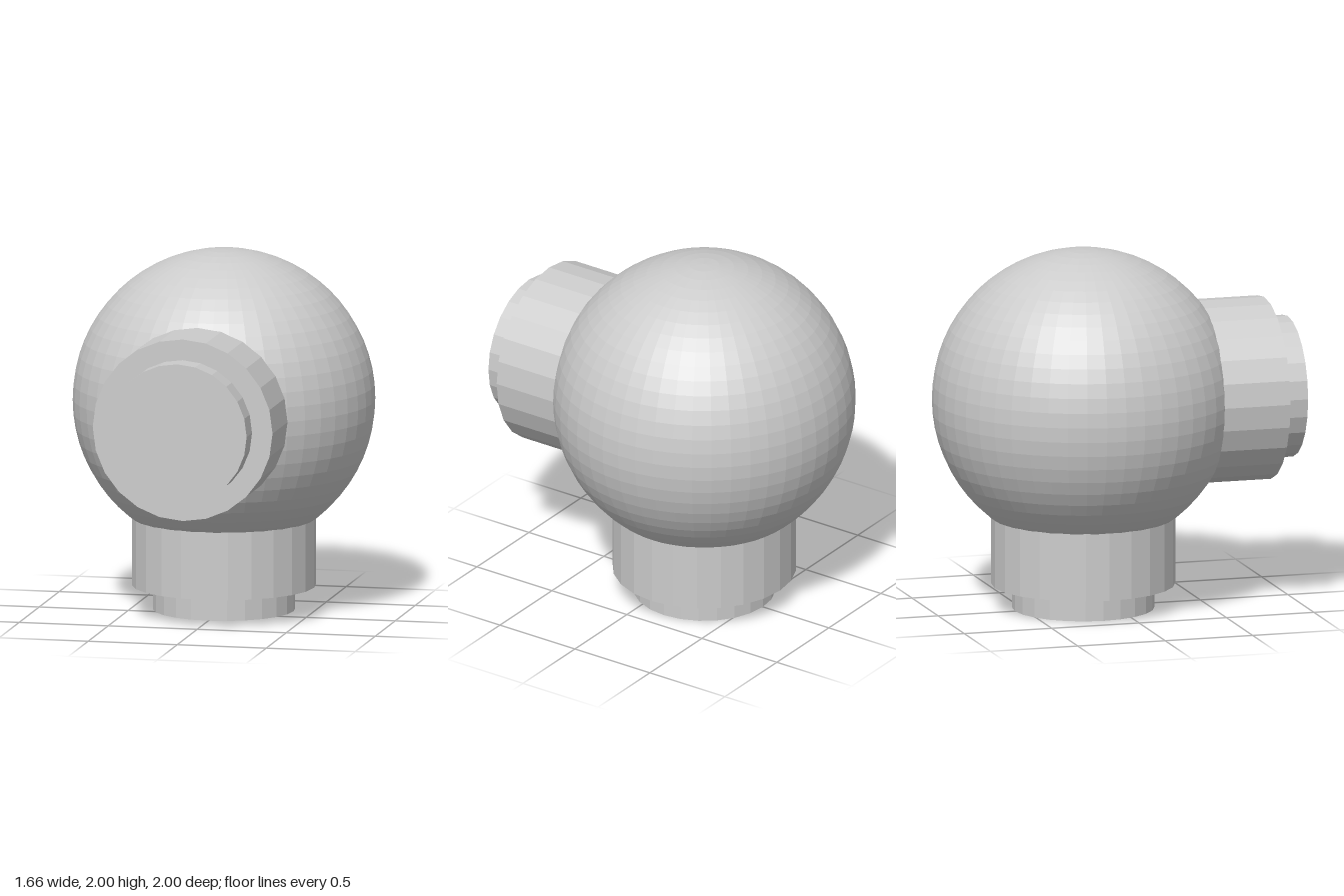
import * as THREE from 'three';

const CENTER = new THREE.Vector3(0, 1.17, -0.17);
const RADIUS = 0.83;

export function createModel() {
  const model = new THREE.Group();
  model.name = 'elbowBall';
  const material = new THREE.MeshStandardMaterial({ color: 0xcccccc, flatShading: true });

  // Faceted ball
  const ball = new THREE.Mesh(new THREE.SphereGeometry(RADIUS, 48, 32), material);
  ball.name = 'ball';
  ball.position.copy(CENTER);
  model.add(ball);

  // Cylinder hanging below the ball centre, between two distances from it
  const cylinder = (name, radius, from, to) => {
    const mesh = new THREE.Mesh(new THREE.CylinderGeometry(radius, radius, to - from, 24), material);
    mesh.name = name;
    mesh.position.y = -(from + to) / 2;
    return mesh;
  };

  // Stepped connector: wide collar with a narrower plug at its end
  const addConnector = (name, tilt) => {
    const connector = new THREE.Group();
    connector.name = name;
    connector.position.copy(CENTER);
    connector.rotation.x = tilt;
    connector.add(cylinder('collar', 0.505, 0.62, 1.035), cylinder('plug', 0.39, 1.0, 1.17));
    model.add(connector);
  };
  addConnector('bottomConnector', 0);
  addConnector('frontConnector', -Math.PI / 2);

  return model;
}
